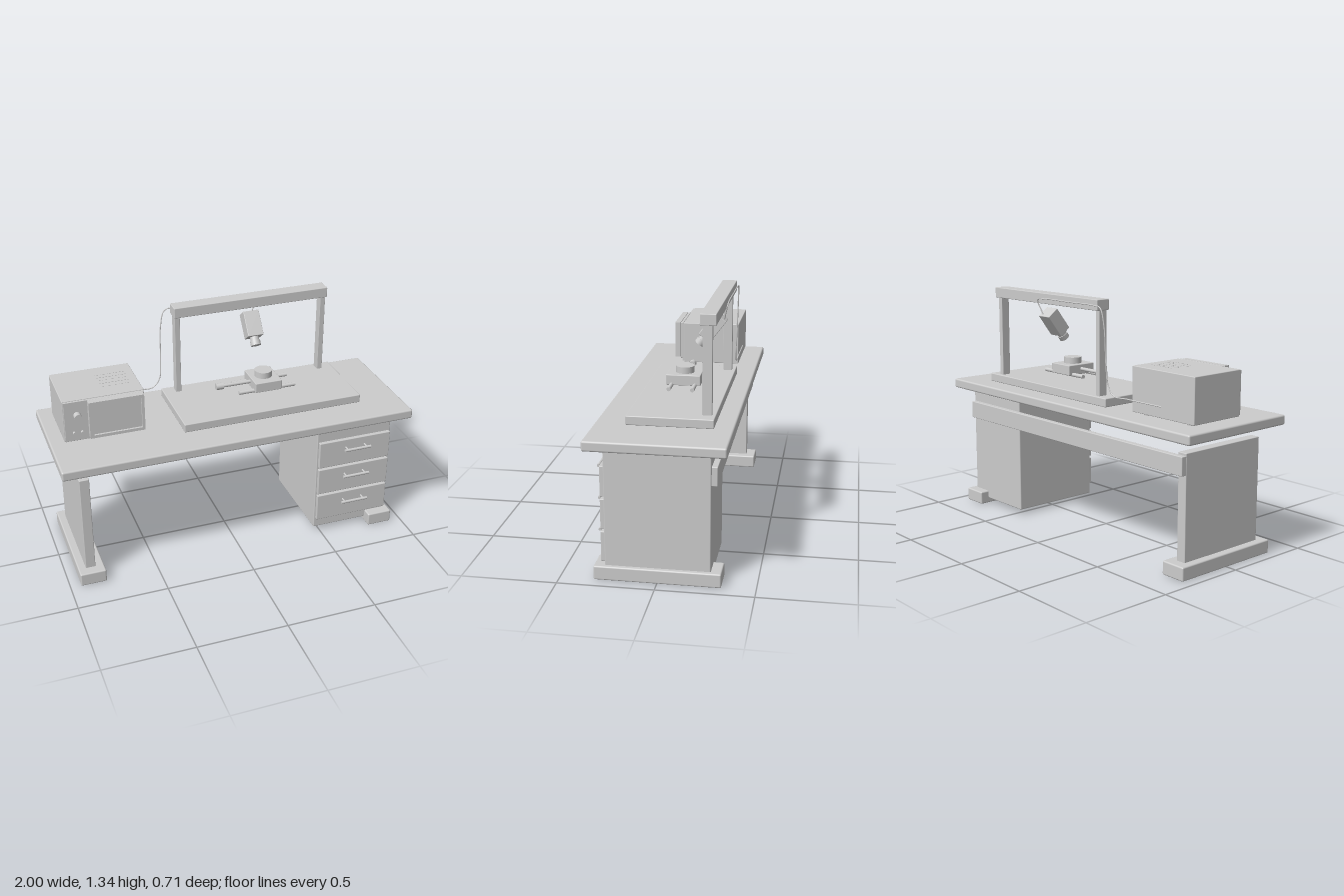
import * as THREE from 'three';
import { RoundedBoxGeometry } from 'three/addons/geometries/RoundedBoxGeometry.js';

export function createModel() {
  const model = new THREE.Group();
  model.name = 'laboratoryDesk';
  const grey = new THREE.MeshStandardMaterial({ color: 0xcccccc });
  grey.name = 'light grey';

  const add = (name, geometry, x, y, z, parent = model) => {
    const mesh = new THREE.Mesh(geometry, grey);
    mesh.name = name;
    mesh.position.set(x, y, z);
    parent.add(mesh);
    return mesh;
  };
  // Box given by its limits; r is the edge rounding
  const box = (name, x0, x1, y0, y1, z0, z1, r = 0.004) => {
    const s = [x1 - x0, y1 - y0, z1 - z0];
    const g = r ? new RoundedBoxGeometry(...s, 2, r) : new THREE.BoxGeometry(...s);
    return add(name, g, (x0 + x1) / 2, (y0 + y1) / 2, (z0 + z1) / 2);
  };
  // Cylinder centred on a point, lying along the given axis
  const rod = (name, axis, r, length, x, y, z) => {
    const g = new THREE.CylinderGeometry(r, r, length, 32);
    if (axis === 'x') g.rotateZ(Math.PI / 2);
    if (axis === 'z') g.rotateX(Math.PI / 2);
    return add(name, g, x, y, z);
  };

  // Desk
  box('tabletop', -1, 1, 0.707, 0.761, -0.355, 0.355, 0.01);
  box('leftLegPanel', -0.9, -0.845, 0.07, 0.64, -0.27, 0.27);
  box('backRail', -0.9, 0.9, 0.527, 0.627, -0.3, -0.268);
  box('leftFoot', -0.942, -0.797, 0, 0.075, -0.325, 0.325, 0.008);
  box('rightFoot', 0.79, 0.935, 0, 0.075, -0.325, 0.325, 0.008);
  box('drawerCabinet', 0.46, 0.912, 0.03, 0.684, -0.27, 0.27, 0.006);

  // Drawers with bar handles
  for (let i = 0; i < 3; i++) {
    const y = 0.172 + i * 0.175;
    box('drawerFront', 0.47, 0.905, y - 0.081, y + 0.081, 0.262, 0.29);
    rod('drawerHandle', 'x', 0.008, 0.16, 0.688, y + 0.031, 0.325);
    for (const x of [0.63, 0.746]) rod('handlePost', 'z', 0.005, 0.04, x, y + 0.031, 0.306);
  }

  // Instrument base plate and gantry
  box('basePlate', -0.29, 0.75, 0.77, 0.818, -0.26, 0.188, 0.005);
  for (const x of [-0.22, 0.68]) {
    for (const z of [-0.19, 0.12]) rod('basePlateFoot', 'y', 0.02, 0.016, x, 0.766, z);
  }
  for (const x of [-0.205, 0.665]) {
    box('gantryPost', x - 0.015, x + 0.015, 0.815, 1.285, -0.24, -0.19, 0.002);
  }
  box('gantryBeam', -0.225, 0.685, 1.276, 1.335, -0.26, -0.177);

  // Tilted camera with stepped lens
  const camera = new THREE.Group();
  camera.name = 'inspectionCamera';
  camera.position.set(0.23, 1.17, -0.186);
  camera.rotation.x = -0.652;
  model.add(camera);
  add('cameraBody', new RoundedBoxGeometry(0.092, 0.145, 0.075, 2, 0.003), 0, 0, 0, camera);
  add('lensBarrel', new THREE.CylinderGeometry(0.025, 0.025, 0.04, 32), 0, -0.09, 0, camera);
  add('lensRing', new THREE.CylinderGeometry(0.029, 0.029, 0.028, 32), 0, -0.108, 0, camera);

  // Sliding stage on two rails
  for (const z of [-0.1, 0.025]) rod('stageRail', 'x', 0.011, 0.335, 0.247, 0.866, z);
  box('stageBlock', 0.168, 0.325, 0.863, 0.92, -0.13, 0.055);
  rod('sampleDisc', 'y', 0.05, 0.038, 0.247, 0.936, -0.038);
  rod('micrometerShaft', 'x', 0.01, 0.18, 0.085, 0.893, -0.038);
  rod('micrometerThimble', 'x', 0.019, 0.042, -0.014, 0.893, -0.038);

  // Measuring instrument
  box('instrumentCase', -0.925, -0.482, 0.778, 1.02, -0.245, 0.084);
  box('instrumentPanel', -0.92, -0.487, 0.783, 1.015, 0.08, 0.095, 0.002);
  for (const x of [-0.85, -0.54]) {
    for (const z of [-0.19, 0.04]) rod('instrumentFoot', 'y', 0.016, 0.022, x, 0.77, z);
  }
  box('screenMount', -0.79, -0.487, 0.8, 1.018, 0.09, 0.106, 0.002);

  // Screen bezel with a recessed display
  const frame = new THREE.Shape([[-0.795, 0.805], [-0.495, 0.805], [-0.495, 1.018], [-0.795, 1.018]]
    .map(p => new THREE.Vector2(...p)));
  frame.holes.push(new THREE.Path([[-0.775, 0.822], [-0.775, 1.0], [-0.51, 1.0], [-0.51, 0.822]]
    .map(p => new THREE.Vector2(...p))));
  add('screenBezel', new THREE.ExtrudeGeometry(frame, { depth: 0.032, bevelEnabled: false }), 0, 0, 0.108);
  box('screenDisplay', -0.78, -0.505, 0.817, 1.005, 0.1, 0.128, 0);

  // Controls
  rod('controlDial', 'z', 0.02, 0.04, -0.85, 0.935, 0.11);
  for (const x of [-0.872, -0.828]) rod('controlButton', 'z', 0.008, 0.02, x, 0.832, 0.1);

  // Ventilation slots on top of the case
  for (let i = 0; i < 5; i++) {
    for (let j = 0; j < 5; j++) {
      const x = -0.69 + i * 0.034, z = -0.16 + j * 0.034;
      box('ventSlot', x, x + 0.025, 1.019, 1.0215, z, z + 0.008, 0);
    }
  }

  // Cable from the instrument, up the gantry and to the camera
  const path = new THREE.CatmullRomCurve3([
    [-0.7, 0.838, -0.249], [-0.45, 0.838, -0.249], [-0.34, 0.84, -0.249], [-0.3, 0.89, -0.25],
    [-0.289, 1.0, -0.255], [-0.282, 1.2, -0.262], [-0.255, 1.295, -0.266], [-0.2, 1.304, -0.266],
    [0, 1.305, -0.266], [0.2, 1.305, -0.266], [0.275, 1.295, -0.266], [0.25, 1.21, -0.245],
  ].map(p => new THREE.Vector3(...p)));
  add('cable', new THREE.TubeGeometry(path, 120, 0.0035, 8), 0, 0, 0);

  return model;
}
